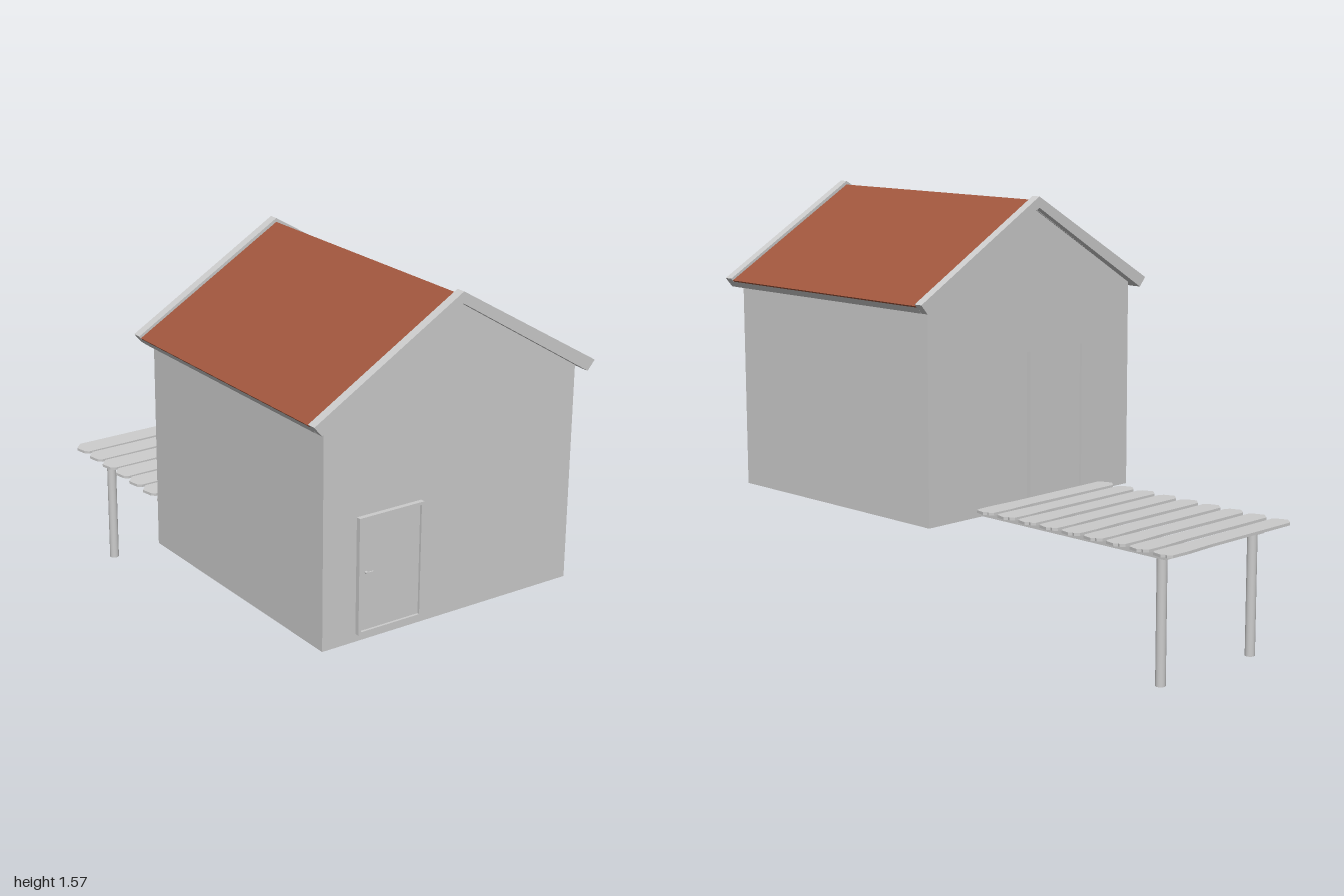
import * as THREE from 'three';

const grey = new THREE.MeshStandardMaterial({ color: 0xcccccc });
grey.name = 'light grey';
const red = new THREE.MeshStandardMaterial({ color: 0xa0563d });
red.name = 'roof red';

export function createModel() {
  const model = new THREE.Group();
  model.name = 'stiltHouse';

  const add = (name, geometry, material = grey, x = 0, y = 0, z = 0) => {
    const mesh = new THREE.Mesh(geometry, material);
    mesh.name = name;
    mesh.position.set(x, y, z);
    model.add(mesh);
    return mesh;
  };
  const box = (name, x0, x1, y0, y1, z0, z1) =>
    add(name, new THREE.BoxGeometry(x1 - x0, y1 - y0, z1 - z0), grey,
      (x0 + x1) / 2, (y0 + y1) / 2, (z0 + z1) / 2);
  const outline = (points) => new THREE.Shape(points.map(([x, y]) => new THREE.Vector2(x, y)));
  const rect = (x0, x1, y0, y1) => [[x0, y0], [x1, y0], [x1, y1], [x0, y1]];
  const prism = (name, shape, z0, z1, material = grey) =>
    add(name, new THREE.ExtrudeGeometry(shape, { depth: z1 - z0, bevelEnabled: false }), material, 0, 0, z0);

  // House body, with a separate back wall that holds the doorway
  const gable = [[-0.512, 0.44], [0.512, 0.44], [0.512, 1.222], [0, 1.53], [-0.512, 1.222]];
  prism('houseBody', outline(gable), -0.025, 0.968);
  const backWall = outline(gable);
  backWall.holes.push(outline(rect(-0.26, 0.26, 0.455, 1.01)));
  prism('backWall', backWall, -0.06, -0.025);

  // Sliding back doors, one set in front of the other
  box('slidingDoorNear', -0.26, 0.0, 0.455, 1.01, -0.05, -0.03);
  box('slidingDoorFar', -0.01, 0.26, 0.455, 1.01, -0.032, -0.02);

  // Front door: frame, leaf and handle
  const frame = outline(rect(-0.381, -0.124, 0.468, 0.88));
  frame.holes.push(outline(rect(-0.371, -0.134, 0.478, 0.87)));
  prism('frontDoorFrame', frame, 0.96, 0.985);
  box('frontDoor', -0.371, -0.134, 0.478, 0.87, 0.96, 0.976);
  const rose = add('handleRose', new THREE.CylinderGeometry(0.005, 0.005, 0.012, 12), grey, -0.348, 0.683, 0.98);
  rose.rotation.x = Math.PI / 2;
  box('doorHandle', -0.35, -0.326, 0.68, 0.686, 0.983, 0.988);

  // Roof: mirrored chevron profiles, given from the ridge down to the eave and back
  const chevron = (half) => outline([
    ...half,
    ...half.slice(1, -1).reverse().map(([x, y]) => [-x, y]),
  ]);
  const chevronPrism = (name, [ridge, tip, under, inner], z0, z1, material) => {
    const shape = outline([
      [0, ridge], tip, under, [0, inner],
      [-under[0], under[1]], [-tip[0], tip[1]],
    ]);
    prism(name, shape, z0, z1, material);
  };
  chevronPrism('roofDeck', [1.549, [0.559, 1.222], [0.543, 1.2], 1.528], -0.065, 0.968, grey);
  chevronPrism('roofCovering', [1.556, [0.563, 1.227], [0.559, 1.222], 1.549], -0.065, 0.968, red);
  const barge = [1.57, [0.57, 1.234], [0.541, 1.2], 1.53];
  chevronPrism('frontBargeboard', barge, 0.966, 1.0);
  chevronPrism('backBargeboard', barge, -0.094, -0.06);

  // Deck: beams and round posts
  for (const side of [-1, 1]) {
    const x = side * 0.237;
    box('deckBeam', x - 0.021, x + 0.021, 0.442, 0.469, -0.93, -0.06);
    add('deckPost', new THREE.CylinderGeometry(0.018, 0.018, 0.445, 20), grey, x, 0.2225, -0.897);
  }

  // Rough-cut planks, slightly tilted
  const plankShape = outline([
    [-0.355, 0.008], [-0.325, 0.04], [0.1, 0.041], [0.22, 0.048], [0.3, 0.046],
    [0.312, 0.03], [0.308, 0.02], [0.318, 0.008], [0.307, -0.034], [0.29, -0.042],
    [0.22, -0.044], [0.1, -0.04], [-0.33, -0.047], [-0.345, -0.035],
  ]);
  const plankGeometry = new THREE.ExtrudeGeometry(plankShape, { depth: 0.01, bevelEnabled: false });
  plankGeometry.rotateX(-Math.PI / 2);
  for (let i = 0; i < 9; i++) {
    const plank = add('deckPlank', plankGeometry, grey, 0, 0.468, -0.952 + i * 0.1037);
    plank.rotation.x = 0.03;
  }

  return model;
}
